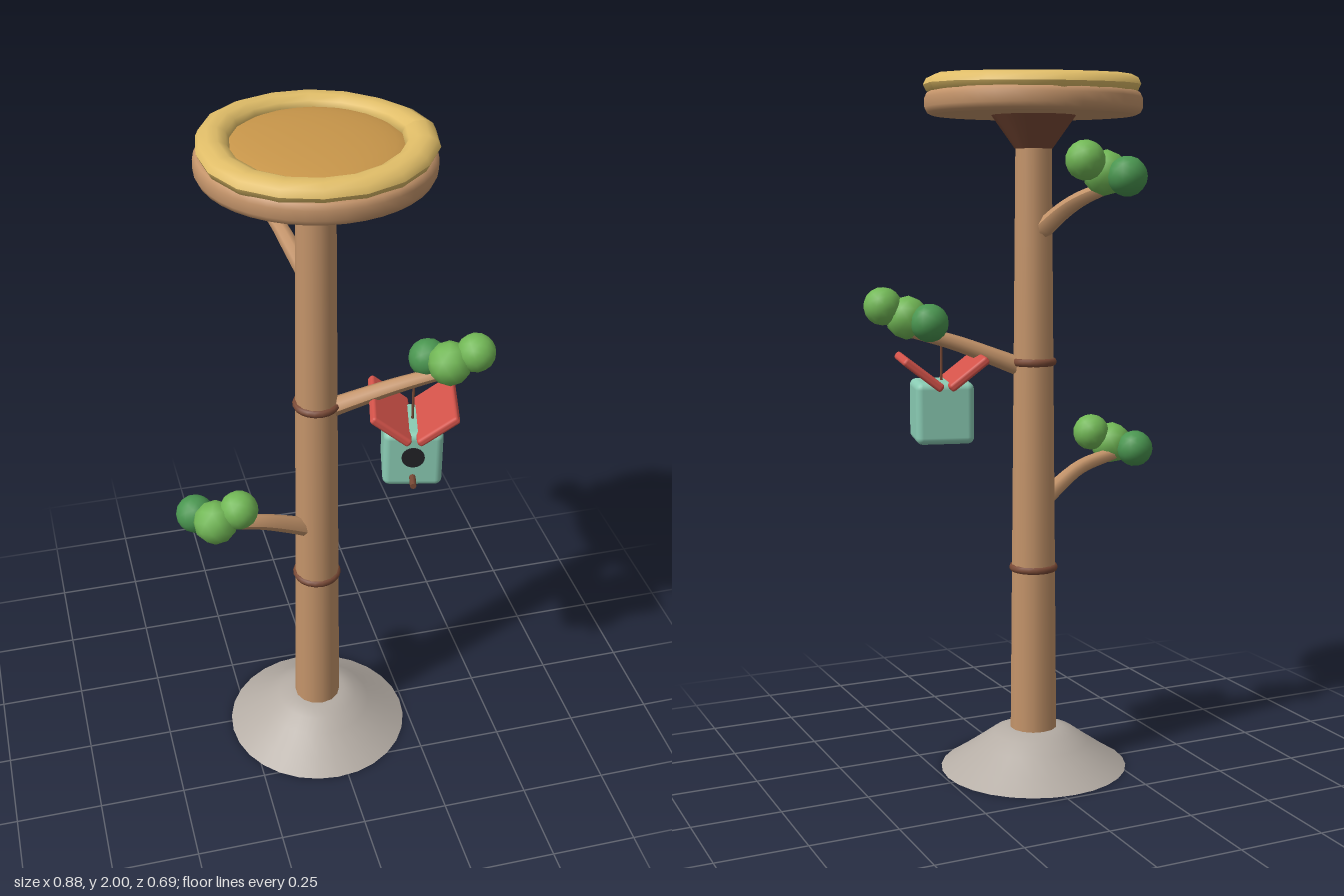
import * as THREE from 'three';
import { RoundedBoxGeometry } from 'three/addons/geometries/RoundedBoxGeometry.js';

const mat = (color, extra = {}) => new THREE.MeshStandardMaterial({ color, ...extra });
const M = {
  wood: mat(0xc4946a), darkWood: mat(0x7a4a36), stone: mat(0xb5ada5, { side: THREE.DoubleSide }),
  rim: mat(0xe0bd68), cushion: mat(0xc8964a), leaf: mat(0x72b856), darkLeaf: mat(0x4a9650),
  roof: mat(0xd4534a), house: mat(0x8accb4), black: mat(0x222226),
};
const V = (x, y, z) => new THREE.Vector3(x, y, z);

function add(parent, name, geometry, material, x = 0, y = 0, z = 0) {
  const mesh = new THREE.Mesh(geometry, material);
  mesh.name = name;
  mesh.position.set(x, y, z);
  parent.add(mesh);
  return mesh;
}

const lathe = (points, sides) =>
  new THREE.LatheGeometry(points.map(([r, y]) => new THREE.Vector2(r, y)), sides);

// Tube along a curve whose radius shrinks from r0 to r1
function taperedTube(points, r0, r1) {
  const curve = new THREE.CatmullRomCurve3(points);
  const rings = 12, sides = 8;
  const geo = new THREE.TubeGeometry(curve, rings, 1, sides);
  const pos = geo.attributes.position, v = V();
  for (let i = 0; i < pos.count; i++) {
    const t = Math.floor(i / (sides + 1)) / rings;
    const c = curve.getPointAt(t);
    v.fromBufferAttribute(pos, i).sub(c).multiplyScalar(r0 + (r1 - r0) * t).add(c);
    pos.setXYZ(i, v.x, v.y, v.z);
  }
  geo.computeVertexNormals();
  return geo;
}

// Padded rim: a flattened, slightly uneven torus
function rimGeometry() {
  const geo = new THREE.TorusGeometry(0.261, 0.043, 10, 18).rotateX(Math.PI / 2);
  const pos = geo.attributes.position;
  for (let i = 0; i < pos.count; i++) {
    const x = pos.getX(i), z = pos.getZ(i), a = Math.atan2(z, x);
    const k = 1 + 0.014 * Math.sin(3 * a + 0.6) + 0.008 * Math.cos(5 * a);
    pos.setXYZ(i, x * k, pos.getY(i) * 0.68 + 0.004 * Math.sin(2 * a + 1), z * k);
  }
  geo.computeVertexNormals();
  return geo;
}

function birdhouse() {
  const g = new THREE.Group();
  g.name = 'birdhouse';
  add(g, 'houseBody', new RoundedBoxGeometry(0.165, 0.175, 0.165, 3, 0.02), M.house, 0, 1.065, 0);
  // Two roof boards meeting in a valley
  for (const s of [-1, 1]) {
    const board = add(g, 'roofBoard', new RoundedBoxGeometry(0.135, 0.024, 0.22, 2, 0.009), M.roof, s * 0.064, 1.178, 0);
    board.rotation.z = s * 0.66;
  }
  add(g, 'entranceHole', new THREE.CylinderGeometry(0.032, 0.032, 0.008, 20).rotateX(Math.PI / 2), M.black, 0, 1.078, 0.082);
  add(g, 'perch', new THREE.CylinderGeometry(0.009, 0.009, 0.05, 8).rotateX(Math.PI / 2), M.darkWood, 0, 1.012, 0.102);
  add(g, 'string', new THREE.CylinderGeometry(0.004, 0.004, 0.13, 6), M.darkWood, 0, 1.21, 0);
  g.position.set(0.225, 0, 0.107);
  g.rotation.y = -0.24;
  return g;
}

export function createModel() {
  const model = new THREE.Group();
  model.name = 'treeTower';

  // Trunk, platform and base share one axis
  const tower = new THREE.Group();
  tower.name = 'tower';
  tower.position.set(-0.031, 0, 0.038);
  model.add(tower);
  add(tower, 'base', lathe([[0.273, 0], [0.22, 0.034], [0.16, 0.076], [0.12, 0.105], [0.085, 0.118], [0.06, 0.12]], 28), M.stone);
  add(tower, 'trunk', new THREE.CylinderGeometry(0.052, 0.07, 1.83, 14, 6), M.wood, 0, 0.916, 0);
  for (const [y, r] of [[0.6, 0.059], [1.2, 0.055]])
    add(tower, 'trunkRing', new THREE.TorusGeometry(r, 0.012, 8, 20).rotateX(Math.PI / 2), M.darkWood, 0, y, 0);
  add(tower, 'platformSupport', new THREE.CylinderGeometry(0.125, 0.053, 0.1, 20), M.darkWood, 0, 1.848, 0);
  add(tower, 'platformUnderside', new THREE.CircleGeometry(0.285, 40).rotateX(Math.PI / 2), M.wood, 0, 1.89, 0);
  add(tower, 'platform', lathe([[0.285, 1.89], [0.298, 1.896], [0.305, 1.91], [0.305, 1.936], [0.298, 1.95], [0.285, 1.956], [0, 1.956]], 40), M.wood);
  add(tower, 'rim', rimGeometry(), M.rim, 0, 1.968, 0);
  const cushion = add(tower, 'cushion', new THREE.SphereGeometry(0.24, 28, 8, 0, Math.PI * 2, 0, Math.PI / 2), M.cushion, 0, 1.954, 0);
  cushion.scale.y = 0.15;

  // Each branch: its path, then leaf balls as dark, middle, tip
  const branches = [
    { path: [V(-0.05, 0.775, 0.05), V(-0.12, 0.82, 0.075), V(-0.22, 0.872, 0.105), V(-0.36, 0.905, 0.125)],
      leaves: [[-0.39, 0.918, 0.085], [-0.345, 0.93, 0.152], [-0.28, 0.965, 0.158]] },
    { path: [V(-0.02, 1.175, 0.045), V(0.08, 1.215, 0.065), V(0.19, 1.258, 0.09), V(0.32, 1.295, 0.112)],
      leaves: [[0.275, 1.318, 0.068], [0.318, 1.33, 0.128], [0.385, 1.363, 0.143]] },
    { path: [V(-0.04, 1.57, 0.01), V(-0.07, 1.627, -0.07), V(-0.09, 1.662, -0.15), V(-0.12, 1.692, -0.25)],
      leaves: [[-0.147, 1.718, -0.297], [-0.115, 1.728, -0.232], [-0.045, 1.76, -0.252]] },
  ];
  for (const { path, leaves } of branches) {
    const g = new THREE.Group();
    g.name = 'branch';
    add(g, 'branchWood', taperedTube(path, 0.028, 0.018), M.wood);
    leaves.forEach((p, i) => {
      const geo = i === 1 ? new THREE.IcosahedronGeometry(0.062, 1) : new THREE.IcosahedronGeometry(0.054, 2);
      const ball = add(g, 'leafBall', geo, i === 0 ? M.darkLeaf : M.leaf, ...p);
      ball.rotation.set(i, i * 2, 0);
    });
    model.add(g);
  }

  model.add(birdhouse());
  return model;
}
